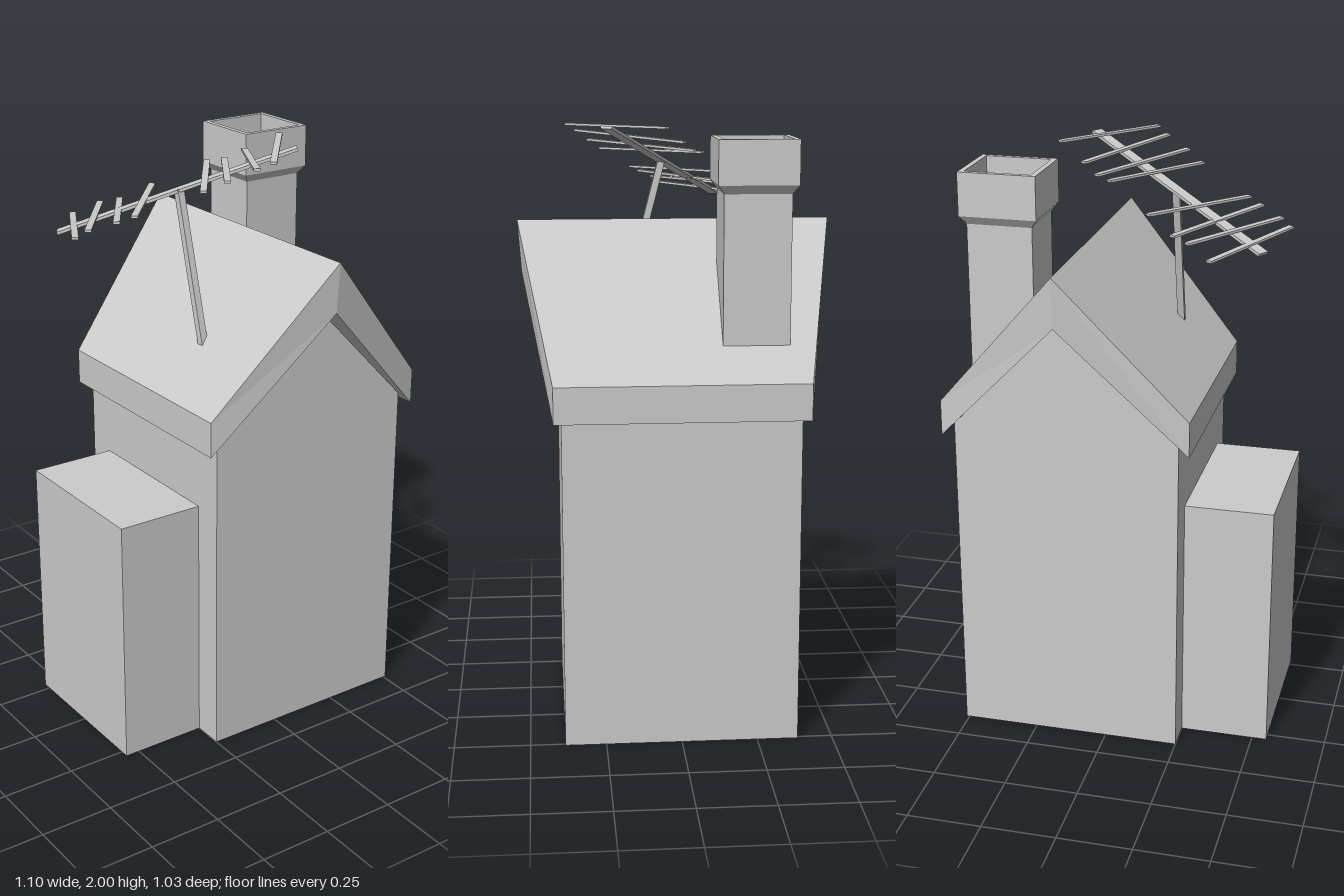
import * as THREE from 'three';

const grey = new THREE.MeshStandardMaterial({ color: 0xcccccc, flatShading: true, side: THREE.DoubleSide });

function addMesh(parent, name, geometry) {
  const mesh = new THREE.Mesh(geometry, grey);
  mesh.name = name;
  parent.add(mesh);
  return mesh;
}

// Flat-shaded surface from convex polygons, each a list of [x, y, z] corners
function polygons(faces) {
  const pos = [];
  for (const f of faces)
    for (let i = 1; i < f.length - 1; i++) pos.push(...f[0], ...f[i], ...f[i + 1]);
  const g = new THREE.BufferGeometry();
  g.setAttribute('position', new THREE.Float32BufferAttribute(pos, 3));
  g.computeVertexNormals();
  return g;
}

// Rectangular bar between two points, its width lying level
function bar(parent, name, a, b, width, thickness) {
  const from = new THREE.Vector3(...a), to = new THREE.Vector3(...b);
  const mesh = addMesh(parent, name, new THREE.BoxGeometry(width, thickness, from.distanceTo(to)));
  mesh.position.copy(from).add(to).multiplyScalar(0.5);
  mesh.lookAt(to);
  return mesh;
}

export function createModel() {
  const model = new THREE.Group();
  model.name = 'house';

  // Gabled walls, open underneath
  const L = -0.25, R = 0.51, D = 0.385, ridgeX = 0.13;
  const gable = (z) => [[L, 0, z], [R, 0, z], [R, 1.125, z], [ridgeX, 1.52, z], [L, 1.13, z]];
  const side = (x, y, s) => [[x, 0, s * D], [x, 0, -s * D], [x, y, -s * D], [x, y, s * D]];
  addMesh(model, 'walls', polygons([gable(D), gable(-D).reverse(), side(R, 1.125, 1), side(L, 1.13, -1)]));

  // Side extension, open underneath and towards the house
  const x0 = -0.55, x1 = -0.22, h = 0.86, d = 0.28;
  addMesh(model, 'extension', polygons([
    [[x0, 0, d], [x1, 0, d], [x1, h, d], [x0, h, d]],
    [[x1, 0, -d], [x0, 0, -d], [x0, h, -d], [x1, h, -d]],
    [[x0, 0, -d], [x0, 0, d], [x0, h, d], [x0, h, -d]],
    [[x0, h, d], [x1, h, d], [x1, h, -d], [x0, h, -d]],
  ]));

  // Roof: chevron section whose ridge juts out further than the eaves
  const section = [
    [-0.29, 1.21, 0.41], [-0.29, 1.09, 0.41], [ridgeX, 1.52, 0.503],
    [0.546, 1.09, 0.41], [0.546, 1.21, 0.41], [ridgeX, 1.69, 0.515],
  ];
  const back = section.map(([x, y, z]) => [x, y, -z]);
  const roofFaces = section.map((p, i) => {
    const j = (i + 1) % section.length;
    return [section[j], p, back[i], back[j]];
  });
  for (const [s, flip] of [[section, false], [back, true]])
    for (const q of [[0, 1, 2, 5], [5, 2, 3, 4]]) {
      const face = q.map((i) => s[i]);
      roofFaces.push(flip ? face.reverse() : face);
    }
  addMesh(model, 'roof', polygons(roofFaces));

  // Chimney: square shaft flaring into a hollow cap
  const profile = [[0.108, 1.25], [0.108, 1.797], [0.128, 1.825], [0.128, 1.967], [0.11, 1.967], [0.11, 1.85], [0, 1.85]]
    .map(([half, y]) => new THREE.Vector2(half * Math.SQRT2, y));
  const stack = new THREE.LatheGeometry(profile, 4, Math.PI / 4).toNonIndexed();
  stack.computeVertexNormals();
  addMesh(model, 'chimney', stack).position.set(0.345, 0, -0.241);

  // Aerial: leaning mast, sloping boom and two groups of crossbars
  const aerial = new THREE.Group();
  aerial.name = 'aerial';
  model.add(aerial);
  bar(aerial, 'mast', [-0.14, 1.34, 0.155], [-0.145, 1.86, 0.02], 0.024, 0.024);
  bar(aerial, 'boom', [-0.475, 1.72, -0.2], [0.178, 1.99, 0.221], 0.042, 0.01);
  // Each crossbar: left end x, y, z then right end x, y, z
  const crossbars = [
    [-0.53, 1.757, 0.01, -0.33, 1.727, -0.35],
    [-0.495, 1.78, 0.03, -0.25, 1.765, -0.3],
    [-0.42, 1.806, 0.08, -0.195, 1.776, -0.265],
    [-0.373, 1.824, 0.11, -0.103, 1.824, -0.205],
    [-0.19, 1.901, 0.225, 0.05, 1.901, -0.105],
    [-0.13, 1.934, 0.27, 0.1, 1.91, -0.075],
    [-0.05, 1.97, 0.315, 0.155, 1.94, -0.037],
    [-0.01, 1.992, 0.345, 0.25, 1.992, 0.028],
  ];
  crossbars.forEach((c, i) => bar(aerial, `crossbar${i + 1}`, c.slice(0, 3), c.slice(3), 0.022, 0.008));

  return model;
}
